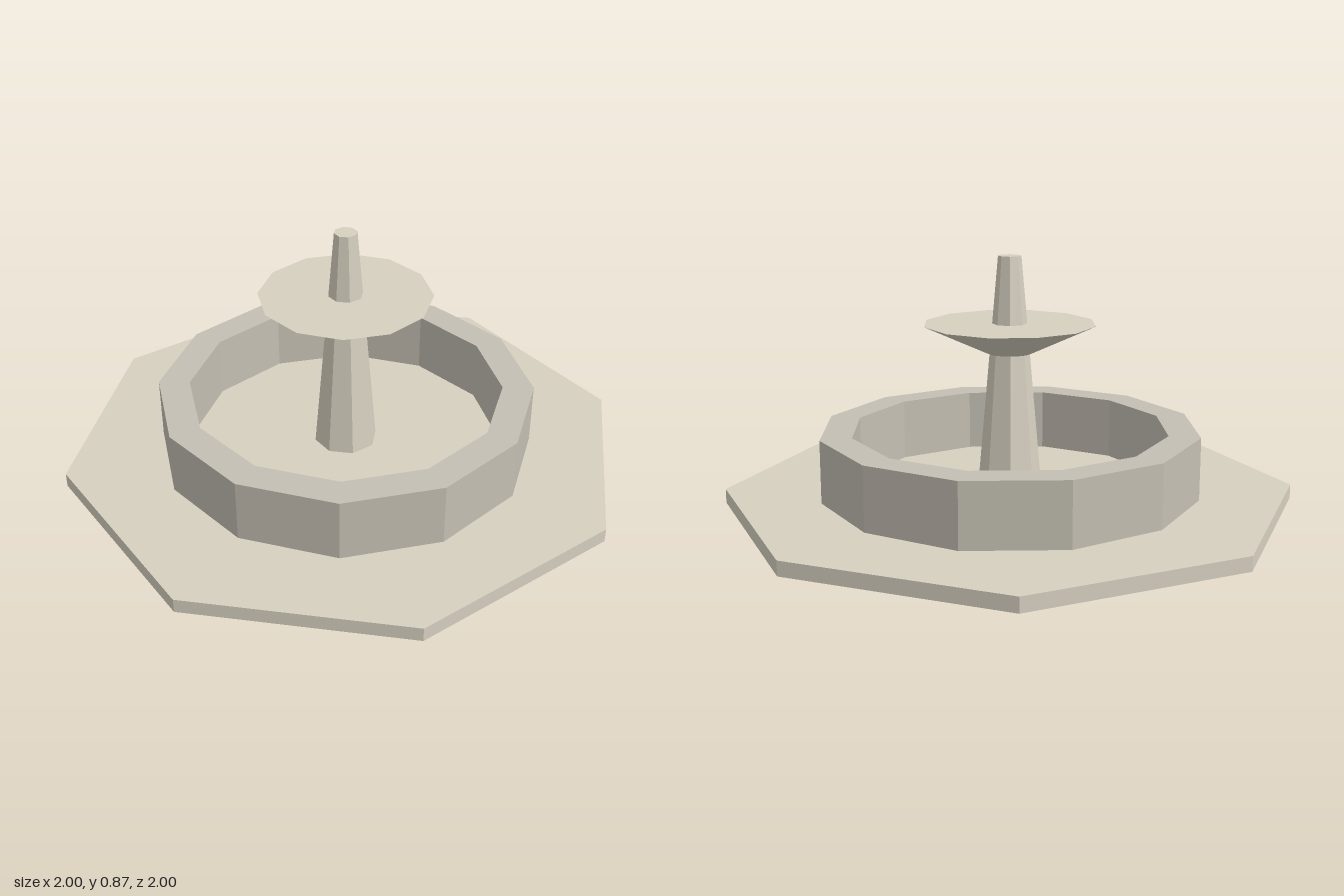
import * as THREE from 'three';

export function createModel() {
  const model = new THREE.Group();
  model.name = 'fountain';

  const paleStone = new THREE.MeshStandardMaterial({ color: 0xd6d0c0, flatShading: true });
  const greyStone = new THREE.MeshStandardMaterial({ color: 0xc4bfb3, flatShading: true });

  const add = (name, geometry, material, y = 0) => {
    const mesh = new THREE.Mesh(geometry, material);
    mesh.name = name;
    mesh.position.y = y;
    model.add(mesh);
  };

  // Tapered, faceted solid standing between two heights
  const frustum = (name, rTop, rBottom, y0, y1, sides, material) =>
    add(name, new THREE.CylinderGeometry(rTop, rBottom, y1 - y0, sides), material, (y0 + y1) / 2);

  // Octagonal paved base
  frustum('base', 1, 1, 0, 0.05, 8, paleStone);

  // Twelve-sided basin wall: outer face, flat rim, inner face
  const wall = [[0.665, 0.05], [0.665, 0.27], [0.555, 0.27], [0.555, 0.05]]
    .map(([r, y]) => new THREE.Vector2(r, y));
  add('basinWall', new THREE.LatheGeometry(wall, 12), greyStone);

  // Tapering central column and the dish it carries
  frustum('column', 0.04, 0.112, 0.05, 0.87, 8, paleStone);
  frustum('dish', 0.3, 0.08, 0.535, 0.637, 12, paleStone);

  return model;
}
